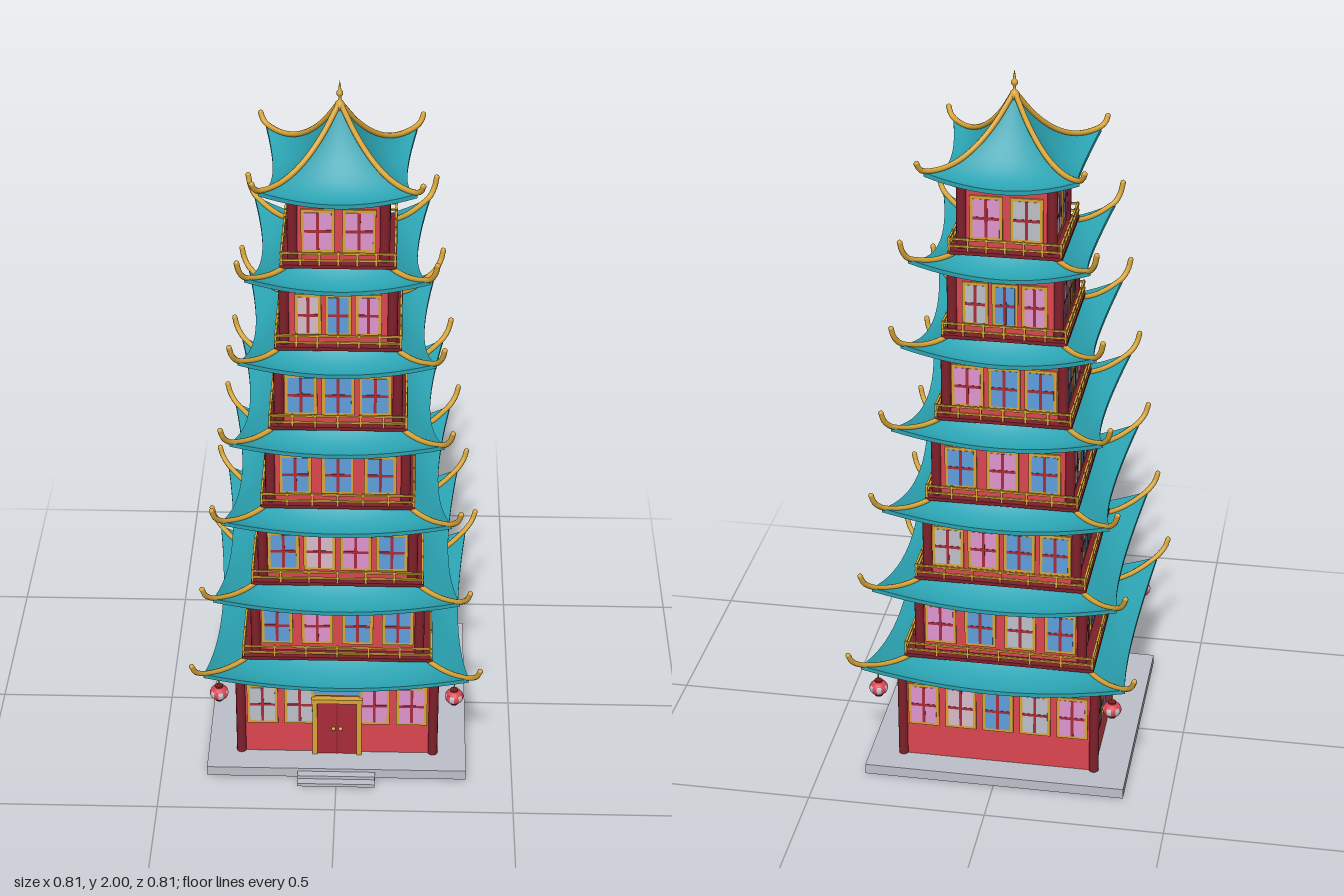
import * as THREE from 'three';
import { ParametricGeometry } from 'three/addons/geometries/ParametricGeometry.js';

const mat = (name, color) => {
  const m = new THREE.MeshStandardMaterial({ color });
  m.name = name;
  return m;
};

export function createModel() {
  const M = {
    teal: mat('teal tile', 0x2ba3b2), gold: mat('gold', 0xd9a636), red: mat('red wall', 0xdc464f),
    maroon: mat('dark red timber', 0x80202a), door: mat('door red', 0xa82c39), stone: mat('stone', 0xbec1ca),
    blue: mat('blue glass', 0x5f9fdc), pink: mat('pink glass', 0xe096d0), pale: mat('pale pink glass', 0xd8bccb),
    mint: mat('mint glass', 0x8eecd0),
  };
  const glass = { b: M.blue, p: M.pink, l: M.pale, g: M.stone, m: M.mint };
  const root = new THREE.Group();
  root.name = 'pagoda';

  const add = (parent, name, geo, material, x = 0, y = 0, z = 0) => {
    const m = new THREE.Mesh(geo, material);
    m.name = name;
    m.position.set(x, y, z);
    parent.add(m);
    return m;
  };
  const box = (parent, name, material, w, h, d, x, y, z) =>
    add(parent, name, new THREE.BoxGeometry(w, h, d), material, x, y, z);
  const group = (parent, name, angle = 0) => {
    const g = new THREE.Group();
    g.name = name;
    g.rotation.y = angle;
    parent.add(g);
    return g;
  };
  const patch = (fn, nu, nv) => new ParametricGeometry((u, v, p) => fn(u * 2 - 1, v, p), nu, nv);
  const lerp = THREE.MathUtils.lerp;

  // Four-sided roof with upswept corners, soffit and gold hip ridges
  function roof(o) {
    const g = group(root, 'roof');
    const edge = (u) => o.mid + (o.corner - o.mid) * u * u;
    const height = (u, t) =>
      o.yTop - (o.yTop - o.yEave) * (1 - (1 - t) ** 2) + o.lift * u * u * t ** 1.5;
    const thick = 0.012;
    const tiles = patch((u, v, p) => {
      const t = 1 - v;
      p.set(u * lerp(o.inner, o.corner, t), height(u, t), lerp(o.inner, edge(u), t));
    }, 16, 10);
    const fascia = patch((u, v, p) =>
      p.set(u * o.corner, height(u, 1) - thick * (1 - v), edge(u)), 16, 1);
    const soffit = patch((u, v, p) => p.set(
      u * lerp(o.wall, o.corner, v),
      lerp(o.yEave + 0.004, height(u, 1) - thick, v),
      lerp(o.wall, edge(u), v)), 16, 4);
    const pts = [0, 0.2, 0.4, 0.6, 0.8, 1].map((t) => {
      const d = lerp(o.inner, o.corner, t);
      return new THREE.Vector3(d, height(1, t) + 0.003, d);
    });
    const k = o.tip - 0.002;
    const bend = lerp(o.corner, k, 0.7);
    pts.push(new THREE.Vector3(bend, lerp(height(1, 1), o.yTip, 0.5), bend));
    pts.push(new THREE.Vector3(k, o.yTip, k));
    const ridge = new THREE.TubeGeometry(new THREE.CatmullRomCurve3(pts), 28, 0.0075, 8);
    const ball = new THREE.SphereGeometry(0.0075, 10, 8);
    for (let s = 0; s < 4; s++) {
      const side = group(g, 'roofSide', s * Math.PI / 2);
      add(side, 'roofTiles', tiles, M.teal);
      add(side, 'eaveEdge', fascia, M.teal);
      add(side, 'soffit', soffit, M.door);
      add(side, 'hipRidge', ridge, M.gold);
      add(side, 'ridgeTip', ball, M.gold, k, o.yTip, k);
    }
  }

  // Framed window with a cross of glazing bars, on a wall facing +z
  function makeWindow(parent, x, y, z, w, h, material) {
    const g = group(parent, 'window');
    g.position.set(x, y, z);
    box(g, 'windowFrame', M.gold, w, h, 0.006, 0, 0, 0.002);
    box(g, 'windowPane', material, w - 0.017, h - 0.017, 0.008, 0, 0, 0.002);
    box(g, 'windowBar', M.door, 0.008, h - 0.017, 0.009, 0, 0, 0.0025);
    box(g, 'windowBar', M.door, w - 0.017, 0.008, 0.009, 0, 0, 0.0025);
  }

  // Balcony deck with posts and two rails on each side
  function balcony(half, y) {
    const g = group(root, 'balcony');
    box(g, 'balconyDeck', M.maroon, half * 2, 0.01, half * 2, 0, y, 0);
    const r = half - 0.004;
    for (let s = 0; s < 4; s++) {
      const side = group(g, 'railing', s * Math.PI / 2);
      for (const h of [0.018, 0.038]) box(side, 'rail', M.gold, r * 2 + 0.008, 0.005, 0.006, 0, y + h, r);
      for (let i = 0; i < 6; i++)
        box(side, 'railPost', M.gold, 0.006, 0.046, 0.006, lerp(-r, r, i / 6), y + 0.02, r);
    }
  }

  // Stone base and front steps
  box(root, 'plinth', M.stone, 0.738, 0.03, 0.714, 0, 0.015, 0);
  box(root, 'upperStep', M.stone, 0.22, 0.02, 0.03, 0, 0.01, 0.363);
  box(root, 'lowerStep', M.stone, 0.22, 0.01, 0.05, 0, 0.005, 0.375);

  // Per floor: wall half width, balcony half width, eave reach, ridge tip reach,
  // window spacing, and glass for the front, right, back and left sides
  const floors = [
    [0.287, 0, 0.344, 0.4, 0.106, ['gg.pp', 'bglpb', 'plbgp', 'bpglb']],
    [0.243, 0.268, 0.31, 0.367, 0.113, ['bpbb', 'bglp', 'pbgb', 'bbpl']],
    [0.221, 0.24, 0.277, 0.337, 0.1, ['blpb', 'bgpb', 'gpbb', 'pbgb']],
    [0.198, 0.212, 0.25, 0.31, 0.116, ['bbb', 'glp', 'bpb', 'lbp']],
    [0.173, 0.188, 0.23, 0.283, 0.1, ['bbb', 'mgb', 'pbb', 'bgp']],
    [0.157, 0.17, 0.208, 0.26, 0.08, ['lbp', 'bbp', 'gbp', 'plb']],
    [0.134, 0.153, 0.177, 0.22, 0.108, ['pp', 'gg', 'pg', 'lp']],
  ];
  floors.forEach(([half, rail, mid, tip, gap, panes], i) => {
    const eave = 0.296 + 0.2373 * i;
    const base = i ? eave - 0.2373 + 0.03 : 0.03;
    const top = eave + 0.013;
    const wall = half - 0.01;
    const g = group(root, 'storey');
    box(g, 'walls', M.red, wall * 2, top - base, wall * 2, 0, (base + top) / 2, 0);
    const column = new THREE.CylinderGeometry(0.014, 0.014, top - base, 12);
    const windowY = i ? eave - 0.2373 + 0.149 : 0.2;
    for (let s = 0; s < 4; s++) {
      const side = group(g, 'wallSide', s * Math.PI / 2);
      add(side, 'cornerColumn', column, M.maroon, half - 0.013, (base + top) / 2, half - 0.013);
      [...panes[s]].forEach((c, n) => {
        if (c !== '.') makeWindow(side, (n - (panes[s].length - 1) / 2) * gap, windowY, wall,
          Math.min(0.088, gap * 0.88), i ? 0.124 : 0.133, glass[c]);
      });
    }
    if (i) balcony(rail, eave - 0.2373 + 0.056);
    const last = i === 6;
    roof({
      wall: wall - 0.002, mid, corner: tip * 0.924, tip, yEave: eave + 0.012,
      lift: last ? 0.048 : 0.06 - i * 0.001,
      inner: last ? 0.004 : floors[i + 1][0] - 0.015,
      yTop: last ? 1.93 : eave + 0.056,
      yTip: eave + (last ? 0.088 : 0.12),
    });
  });

  // Double door with frame, knobs and sign panel
  const door = group(root, 'entrance');
  door.position.z = 0.277;
  for (const s of [-1, 1]) {
    box(door, 'doorLeaf', M.door, 0.056, 0.18, 0.012, s * 0.029, 0.12, 0.003);
    box(door, 'doorFrameSide', M.gold, 0.014, 0.195, 0.02, s * 0.063, 0.1275, 0.005);
    add(door, 'doorKnob', new THREE.SphereGeometry(0.006, 10, 8), M.gold, s * 0.01, 0.12, 0.011);
  }
  box(door, 'doorSeam', M.maroon, 0.004, 0.18, 0.0135, 0, 0.12, 0.003);
  box(door, 'doorLintel', M.gold, 0.145, 0.014, 0.024, 0, 0.221, 0.006);
  box(door, 'signFrame', M.gold, 0.146, 0.042, 0.008, 0, 0.257, 0.003);
  box(door, 'signPanel', M.blue, 0.134, 0.031, 0.009, 0, 0.257, 0.005);

  // Lanterns below the lowest corners: red ends, striped middle band
  for (let s = 0; s < 4; s++) {
    const l = group(group(root, 'lanternArm', s * Math.PI / 2), 'lantern');
    l.position.set(0.33, 0.277, 0.33);
    for (let k = 0; k < 12; k++) {
      const wedge = new THREE.SphereGeometry(0.026, 2, 8, k * Math.PI / 6, Math.PI / 6, 1.05, Math.PI - 2.1);
      add(l, 'lanternPanel', wedge, k % 2 ? M.red : M.stone).scale.y = 0.85;
    }
    for (const start of [0, Math.PI - 1.05])
      add(l, 'lanternEnd', new THREE.SphereGeometry(0.026, 24, 5, 0, Math.PI * 2, start, 1.05), M.red).scale.y = 0.85;
    for (const y of [-0.022, 0.022])
      add(l, 'lanternCap', new THREE.CylinderGeometry(0.011, 0.011, 0.006, 12), M.maroon, 0, y, 0);
    add(l, 'lanternCord', new THREE.CylinderGeometry(0.002, 0.002, 0.06, 6), M.gold, 0, 0.05, 0);
  }

  // Finial on the apex
  const profile = [[0, 1.916], [0.011, 1.92], [0.014, 1.93], [0.011, 1.94], [0.004, 1.946], [0.004, 1.955],
    [0.009, 1.962], [0.009, 1.968], [0.004, 1.975], [0.003, 1.985], [0, 2]];
  add(root, 'finial', new THREE.LatheGeometry(profile.map(([x, y]) => new THREE.Vector2(x, y)), 14), M.gold);

  return root;
}
